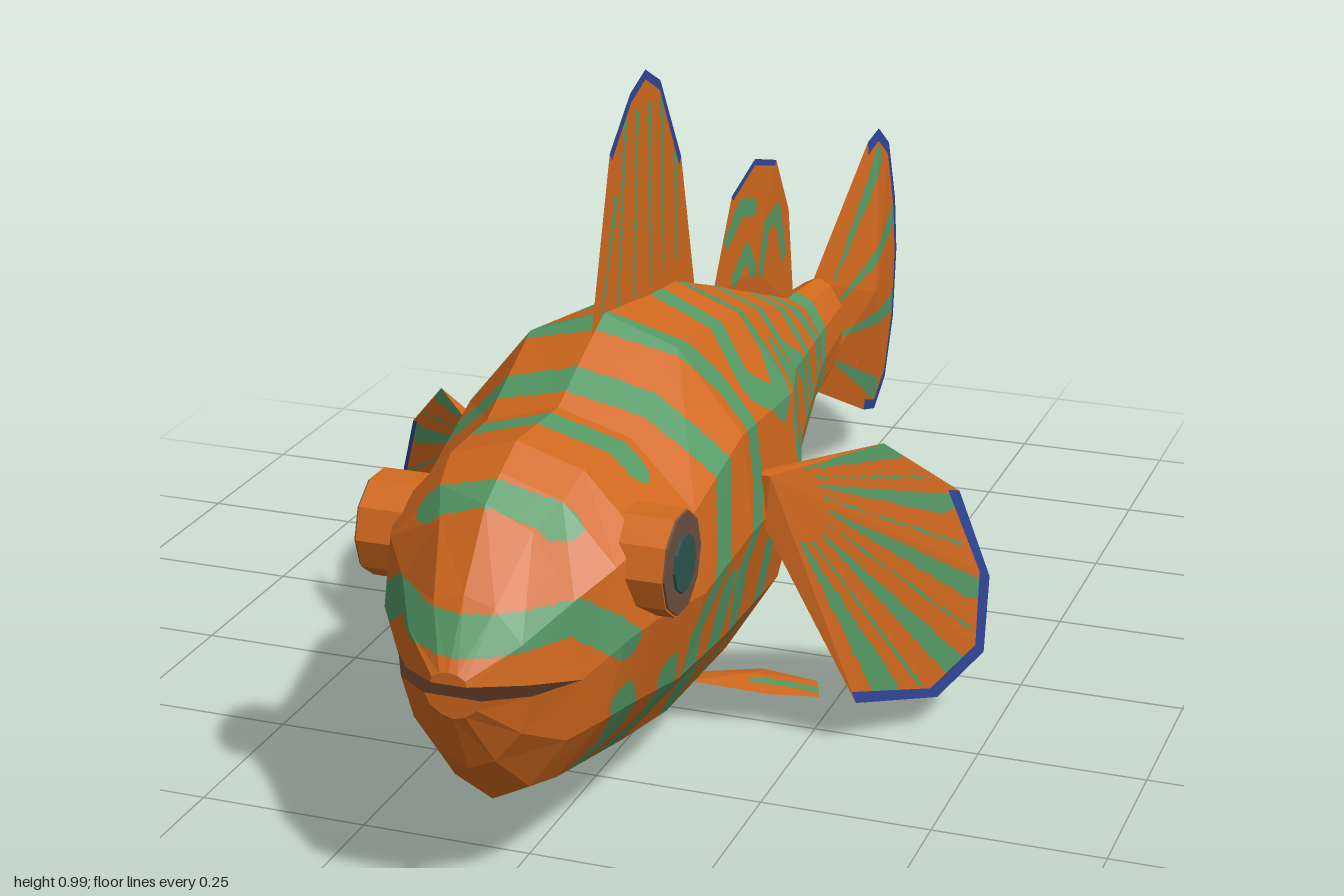
import * as THREE from 'three';

const mat = (name, color) => {
  const m = new THREE.MeshStandardMaterial({ color });
  m.name = name;
  return m;
};
const V = (x, y, z) => new THREE.Vector3(x, y, z);

// Painted strokes: a polyline whose half-width runs from w0 to w1
function stroke(w0, w1, ...pts) {
  const n = pts.length - 1, w = (i) => w0 + (w1 - w0) * i / n;
  return pts.slice(1).map((b, i) => ({ a: pts[i], b, wa: w(i), wb: w(i + 1) }));
}
// Signed distance from a point to the nearest stroke (negative = painted)
function distance(strokes, u, v) {
  let best = 9;
  for (const { a, b, wa, wb } of strokes) {
    const dx = b[0] - a[0], dy = b[1] - a[1];
    const t = THREE.MathUtils.clamp(((u - a[0]) * dx + (v - a[1]) * dy) / (dx * dx + dy * dy), 0, 1);
    best = Math.min(best, Math.hypot(u - a[0] - t * dx, v - a[1] - t * dy) - wa - (wb - wa) * t);
  }
  return best;
}

function facets(tris) {
  const geo = new THREE.BufferGeometry();
  geo.setAttribute('position', new THREE.Float32BufferAttribute(tris.flat().flatMap((p) => p.toArray()), 3));
  geo.computeVertexNormals();
  return geo;
}
// Flat facets, each cut finely along the stroke borders and coloured by two materials
function paintedMesh(name, tris, base, paint, strokes, uv) {
  const out = [[], []];
  const cut = (a, b, c) => {
    const e = [a.distanceTo(b), b.distanceTo(c), c.distanceTo(a)], long = Math.max(...e);
    const mid = V(0, 0, 0).add(a).add(b).add(c).divideScalar(3);
    const d = distance(strokes, ...uv(mid));
    if (long < 0.009 || Math.abs(d) > long) {
      out[d < 0 ? 1 : 0].push([a, b, c]);
      return;
    }
    if (long === e[1]) [a, b, c] = [b, c, a];
    else if (long === e[2]) [a, b, c] = [c, a, b];
    const m = a.clone().lerp(b, 0.5);
    cut(a, m, c);
    cut(m, b, c);
  };
  tris.forEach((t) => cut(...t));
  const geo = facets(out.flat());
  geo.addGroup(0, out[0].length * 3, 0);
  geo.addGroup(out[0].length * 3, out[1].length * 3, 1);
  const mesh = new THREE.Mesh(geo, [base, paint]);
  mesh.name = name;
  return mesh;
}

// Twelve-sided body cross-section, with separate heights for top, widest line and bottom
const HALF = [[0, 1], [0.5, 0.87], [0.93, 0.48], [1, 0], [0.82, -0.47], [0.41, -0.86], [0, -1]];
function ring([z, top, bot, w, mid = bot + 0.535 * (top - bot)]) {
  const loop = [...HALF, ...HALF.slice(1, 6).reverse().map(([x, v]) => [-x, v])];
  return loop.map(([x, v]) => V(x * w, mid + (v > 0 ? v * (top - mid) : v * (mid - bot)), z));
}
function loft(rings, skin, lining) {
  for (let i = 0; i + 1 < rings.length; i++) {
    const r = rings[i], q = rings[i + 1], n = r.length;
    for (let k = 0; k < n; k++) {
      const l = (k + 1) % n, target = lining && l === 0 ? lining : skin;
      target.push([r[k], q[k], q[l]], [r[k], q[l], r[l]]);
    }
  }
}
function cap(r, front, skin) {
  for (let k = 1; k + 1 < r.length; k++) skin.push(front ? [r[0], r[k + 1], r[k]] : [r[0], r[k], r[k + 1]]);
}

export function createModel() {
  const orange = mat('orange skin', 0xd2691e), green = mat('green stripes', 0x559a66);
  const blue = mat('blue fin edge', 0x2f4698), dark = mat('dark mouth', 0x4a2c1c);
  const iris = mat('brown iris', 0x6a5040), pupil = mat('teal pupil', 0x2d5450);
  const fish = new THREE.Group();
  fish.name = 'fish';
  const side = (p) => [p.z, p.y];

  // Body, from tail root to the mouth corners: z, top, bottom, half-width
  const skin = [], lining = [];
  const body = [
    [-0.53, 0.44, 0.25, 0.045], [-0.365, 0.455, 0.225, 0.062], [0, 0.59, 0.105, 0.145],
    [0.17, 0.65, 0.028, 0.2], [0.45, 0.69, 0.05, 0.22], [0.62, 0.61, 0.09, 0.21],
    [0.765, 0.615, 0.12, 0.19], [0.82, 0.59, 0.13, 0.172], [0.87, 0.565, 0.145, 0.13, 0.338],
  ].map(ring);
  loft(body, skin);
  cap(body[0], false, skin);

  // Upper and lower jaws, with a dark lining on the facing sides
  const jaw = (sections, order) => {
    const rings = [body.at(-1), ...sections.map(ring)].map((r) => order.map((k) => r[k]));
    loft(rings, skin, lining);
    cap(rings.at(-1), true, skin);
  };
  jaw([[0.945, 0.47, 0.2, 0.085, 0.356], [1, 0.385, 0.3, 0.025, 0.368]], [9, 10, 11, 0, 1, 2, 3]);
  jaw([[0.945, 0.5, 0.225, 0.092, 0.342], [0.988, 0.5, 0.315, 0.04, 0.346]], [3, 4, 5, 6, 7, 8, 9]);

  const w = 0.024;
  const stripes = [
    [[0.58, 0.66], [0.52, 0.51], [0.55, 0.39], [0.6, 0.3], [0.58, 0.2]],
    [[0.47, 0.7], [0.4, 0.59], [0.4, 0.44], [0.45, 0.33], [0.42, 0.24]],
    [[0.24, 0.68], [0.32, 0.56], [0.23, 0.5], [0.16, 0.55], [0.13, 0.66]],
    [[0.16, 0.46], [0.07, 0.52], [0.02, 0.43], [0.07, 0.36], [0.16, 0.37], [0.16, 0.46]],
    [[-0.02, 0.58], [-0.01, 0.49], [-0.09, 0.44], [-0.11, 0.33], [-0.02, 0.28], [-0.03, 0.18]],
    [[-0.18, 0.51], [-0.16, 0.42], [-0.2, 0.31], [-0.15, 0.24]],
    [[-0.27, 0.48], [-0.31, 0.4], [-0.26, 0.3]],
    [[-0.39, 0.45], [-0.37, 0.36], [-0.4, 0.24]],
    [[0.5, 0.33], [0.5, 0.18], [0.45, 0.1]],
    [[0.67, 0.27], [0.63, 0.18], [0.7, 0.12]],
    [[0.79, 0.28], [0.74, 0.2], [0.77, 0.13]],
    [[0.08, 0.28], [0.07, 0.18], [0.14, 0.09]],
    [[0.3, 0.32], [0.27, 0.17], [0.33, 0.07]],
    [[0.86, 0.6], [0.84, 0.54]], [[0.67, 0.63], [0.66, 0.56]],
    [[0.99, 0.425], [0.87, 0.425], [0.81, 0.37]],
  ].flatMap((pts) => stroke(w, w, ...pts));
  fish.add(paintedMesh('body', skin, orange, green, stripes, side));
  const mouth = new THREE.Mesh(facets(lining), dark);
  mouth.name = 'mouthLining';
  fish.add(mouth);

  // Fin: a thin lens fanned around a hub; outline edges from..to get a coloured rim
  function fin(name, hub, outline, normal, thick, strokes, uv, rim = 0, from = 0, to = 0) {
    const web = [], edge = [];
    for (const s of [1, -1]) {
      const n = normal.clone().multiplyScalar(s), h = hub.clone().addScaledVector(n, thick);
      const add = (list, a, b, c) => {
        const up = b.clone().sub(a).cross(c.clone().sub(a)).dot(n) > 0;
        list.push(up ? [a, b, c] : [a, c, b]);
      };
      outline.forEach((p, i) => {
        const q = outline[(i + 1) % outline.length];
        if (i < from || i >= to) return add(web, h, p, q);
        const a = p.clone().lerp(h, rim / p.distanceTo(h)), b = q.clone().lerp(h, rim / q.distanceTo(h));
        add(web, h, a, b);
        add(edge, a, p, q);
        add(edge, a, q, b);
      });
    }
    const g = new THREE.Group();
    g.name = name;
    g.add(paintedMesh(name + 'Web', web, orange, green, strokes, uv));
    if (edge.length) {
      const m = new THREE.Mesh(facets(edge), blue);
      m.name = name + 'Rim';
      g.add(m);
    }
    fish.add(g);
  }
  const flat = (pts) => pts.map(([z, y]) => V(0, y, z));
  const X = V(1, 0, 0);

  // Tail fin
  fin('tailFin', V(0, 0.345, -0.76), flat([[-0.5, 0.44], [-0.81, 0.6], [-0.875, 0.608], [-0.94, 0.565],
    [-0.985, 0.45], [-1, 0.35], [-0.985, 0.225], [-0.94, 0.125], [-0.875, 0.085], [-0.81, 0.105], [-0.5, 0.25]]),
  X, 0.034, [[-0.86, 0.56], [-0.97, 0.43], [-0.97, 0.26], [-0.86, 0.13]].flatMap(([z, y]) =>
    stroke(0.003, 0.019, [-0.59, 0.345 + (y - 0.345) * 0.33], [z, y])), side, 0.022, 1, 9);

  // Two back fins and the belly fin
  fin('frontDorsalFin', V(0, 0.66, 0.28), flat([[0.51, 0.63], [0.42, 0.91], [0.34, 0.975], [0.28, 0.995],
    [0.22, 0.965], [0.135, 0.83], [0.075, 0.6]]), X, 0.005,
  [[0.46, 0.4], [0.4, 0.36], [0.34, 0.315], [0.28, 0.265], [0.22, 0.215], [0.16, 0.16]].flatMap(([a, b]) =>
    stroke(0.003, 0.006, [a, 0.68], [b, b > 0.38 || b < 0.2 ? 0.84 : 0.94])), side, 0.014, 1, 5);
  fin('rearDorsalFin', V(0, 0.56, -0.18), flat([[0, 0.57], [-0.09, 0.705], [-0.2, 0.735], [-0.305, 0.705],
    [-0.37, 0.605], [-0.4, 0.43]]), X, 0.005, [
    ...stroke(0.014, 0.014, [-0.07, 0.64], [-0.13, 0.675], [-0.19, 0.66]),
    ...stroke(0.014, 0.014, [-0.1, 0.57], [-0.15, 0.6], [-0.18, 0.56]),
    ...stroke(0.014, 0.014, [-0.22, 0.55], [-0.25, 0.61], [-0.31, 0.62], [-0.34, 0.54]),
  ], side, 0.01, 1, 3);
  fin('analFin', V(0, 0.16, -0.17), flat([[0.12, 0.045], [-0.035, 0.003], [-0.18, 0.003], [-0.315, 0.035],
    [-0.405, 0.11], [-0.455, 0.26], [-0.1, 0.2]]), X, 0.008, [
    ...stroke(0.012, 0.022, [0, 0.14], [-0.05, 0]),
    ...stroke(0.012, 0.022, [-0.14, 0.17], [-0.23, 0.02]),
    ...stroke(0.012, 0.022, [-0.28, 0.21], [-0.38, 0.08]),
  ], side);

  for (const s of [1, -1]) {
    const word = s > 0 ? 'left' : 'right', m = (x, y, z) => V(x * s, y, z);

    // Pectoral fan fin, with wedges towards the rim and hairline rays between them
    const hub = [0.215, 0.45];
    const toward = ([x, y], t) => [hub[0] + (x - hub[0]) * t, hub[1] + (y - hub[1]) * t];
    const wedges = [[0.37, 0.452], [0.42, 0.355], [0.46, 0.215], [0.44, 0.1], [0.36, 0.085]];
    const rays = [[0.4, 0.4], [0.44, 0.29], [0.455, 0.155], [0.4, 0.08]];
    fin(word + 'PectoralFin', m(0.212, 0.45, 0.37), [[0.345, 0.465, 0.24], [0.435, 0.37, 0.15], [0.477, 0.23, 0.123],
      [0.474, 0.112, 0.133], [0.42, 0.055, 0.19], [0.325, 0.075, 0.29], [0.212, 0.37, 0.375], [0.2, 0.45, 0.38],
    ].map((p) => m(...p)), m(0.67, 0, 0.74), 0.014, [
      ...wedges.flatMap((p) => stroke(0.002, 0.014, toward(p, 0.3), p)),
      ...rays.flatMap((p) => stroke(0.001, 0.002, toward(p, 0.3), p)),
    ], (p) => [p.x * s, p.y], 0.02, 1, 5);

    // Pelvic fin
    fin(word + 'PelvicFin', m(0.14, 0.055, 0.21), [[0.07, 0.08, 0.31], [0.185, 0.058, 0.27], [0.237, 0.026, 0.19],
      [0.21, 0.012, 0.11], [0.13, 0.03, 0.13], [0.07, 0.06, 0.23]].map((p) => m(...p)), m(0.25, 0.97, 0), 0.006,
    stroke(0.008, 0.014, [0.15, 0.24], [0.22, 0.16]), (p) => [p.x * s, p.z]);

    // Eye: ten-sided socket with iris and pupil discs
    const eye = new THREE.Group();
    eye.name = word + 'Eye';
    for (const [name, r, from, to, material] of [['socket', 0.073, 0.1, 0.217, orange],
      ['iris', 0.07, 0.214, 0.22, iris], ['pupil', 0.04, 0.218, 0.224, pupil]]) {
      const geo = new THREE.CylinderGeometry(r, r, to - from, 10).toNonIndexed();
      geo.computeVertexNormals();
      const part = new THREE.Mesh(geo, material);
      part.name = name;
      part.rotation.z = Math.PI / 2;
      part.position.set(s * (from + to) / 2, 0.46, 0.735);
      eye.add(part);
    }
    fish.add(eye);
  }
  return fish;
}
